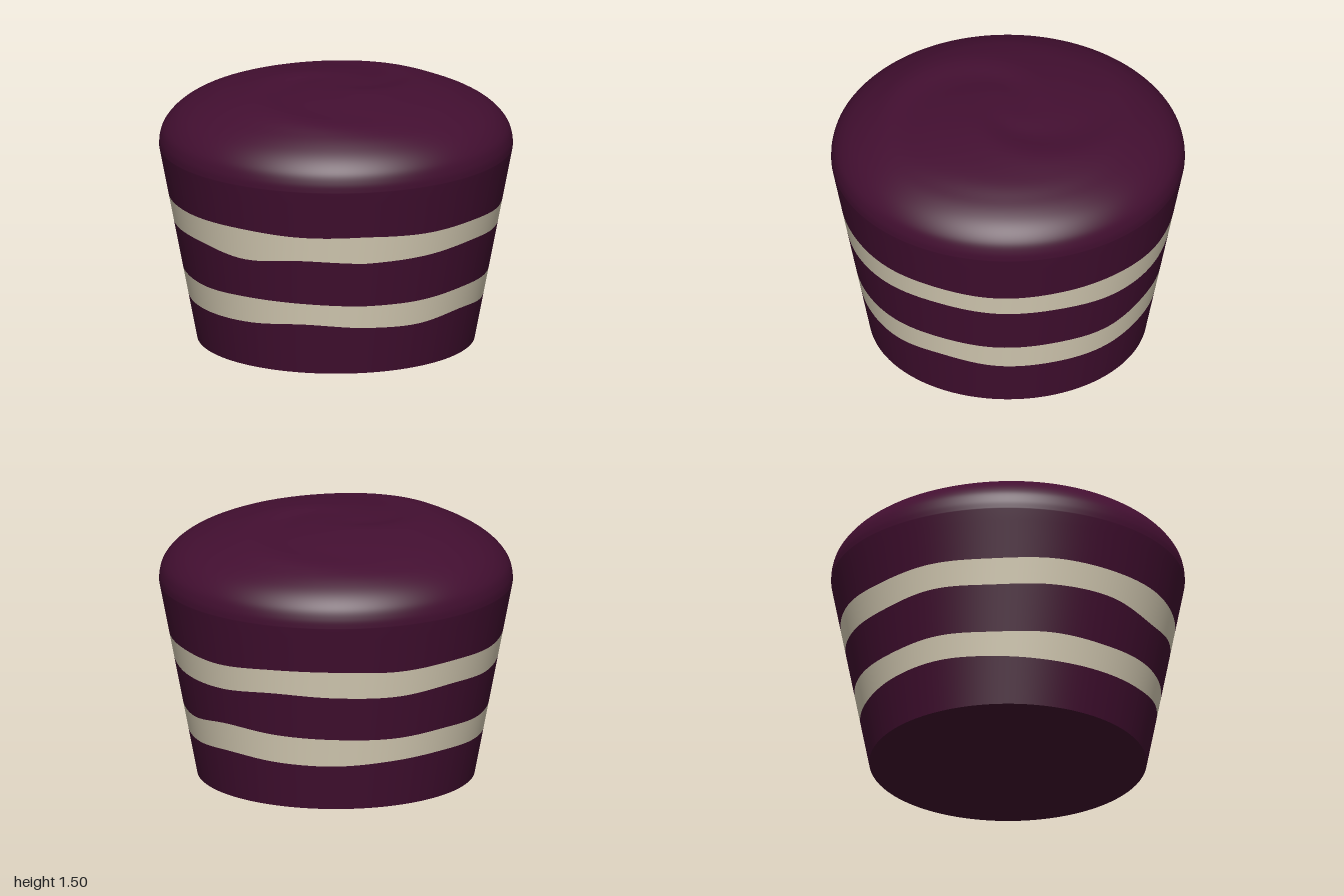
import * as THREE from 'three';

const SEG = 144;
const plum = new THREE.MeshStandardMaterial({ color: 0x430f31 });
plum.name = 'plum';
const cream = new THREE.MeshStandardMaterial({ color: 0xdfd5bc });
cream.name = 'cream';

// Radius of the flared side wall at height y
const RIM = 1.12, BASE_R = 0.785;
const wallRadius = (y) => BASE_R + (1 - BASE_R) * y / RIM;

// Closed wavy edge: heights at even angles, starting at the front and turning to +x
function wave(heights) {
  const curve = new THREE.CatmullRomCurve3(
    heights.map((h, i) => new THREE.Vector3(i, h, 0)).concat(new THREE.Vector3(heights.length, heights[0], 0)));
  return (a) => curve.getPoint(a / (2 * Math.PI)).y;
}

// Smooth skin through rings; each ring maps an angle to [radius, height]
function loft(rings) {
  const pos = [], index = [];
  rings.forEach((ring, i) => {
    for (let j = 0; j < SEG; j++) {
      const a = j / SEG * 2 * Math.PI, [r, y] = ring(a);
      pos.push(r * Math.sin(a), y, r * Math.cos(a));
      if (i === rings.length - 1) continue;
      const k = i * SEG + j, n = i * SEG + (j + 1) % SEG;
      index.push(k, n, n + SEG, k, n + SEG, k + SEG);
    }
  });
  const g = new THREE.BufferGeometry();
  g.setAttribute('position', new THREE.Float32BufferAttribute(pos, 3));
  g.setIndex(index);
  g.computeVertexNormals();
  return g;
}

// Wall rings between two edges
function wallRings(low, high, rows = 2) {
  return Array.from({ length: rows + 1 }, (_, i) => (a) => {
    const y = THREE.MathUtils.lerp(low(a), high(a), i / rows);
    return [wallRadius(y), y];
  });
}

// Gentle two-armed swirl pressed into the top
function swirl(r, a) {
  const p = 2 * (a - 4.4 * r + 1.6);
  const fade = THREE.MathUtils.smoothstep(r, 0.05, 0.3) * (1 - THREE.MathUtils.smoothstep(r, 0.5, 0.92));
  const tilt = 0.012 * r * (Math.cos(a) - Math.sin(a)) * (1 - THREE.MathUtils.smoothstep(r, 0.6, 1));
  return 0.011 * fade * Math.sin(p - 0.6 * Math.sin(p)) + tilt;
}

export function createModel() {
  const group = new THREE.Group();
  group.name = 'layeredCake';
  const add = (name, geometry, material) => {
    const mesh = new THREE.Mesh(geometry, material);
    mesh.name = name;
    group.add(mesh);
  };

  // Wavy edges of the two cream layers
  const lowerBottom = wave([.28, .27, .295, .27, .27, .265, .285, .27, .265, .28, .29, .275, .265, .265, .275, .30]);
  const lowerTop = wave([.415, .415, .43, .42, .425, .415, .455, .44, .43, .42, .43, .415, .425, .42, .43, .428]);
  const upperBottom = wave([.68, .69, .71, .695, .695, .67, .67, .70, .69, .68, .70, .685, .70, .70, .665, .695]);
  const upperTop = wave([.845, .83, .835, .82, .83, .83, .82, .845, .85, .835, .845, .835, .85, .85, .852, .84]);

  // Side wall layers
  add('bottomLayer', loft(wallRings(() => 0, lowerBottom)), plum);
  add('lowerCream', loft(wallRings(lowerBottom, lowerTop)), cream);
  add('middleLayer', loft(wallRings(lowerTop, upperBottom)), plum);
  add('upperCream', loft(wallRings(upperBottom, upperTop)), cream);

  // Top layer: wall, rounded shoulder and swirled crown in one skin
  const crown = new THREE.SplineCurve([
    [1, 1.12], [0.998, 1.17], [0.98, 1.23], [0.935, 1.29], [0.87, 1.342], [0.78, 1.39],
    [0.65, 1.437], [0.45, 1.47], [0.2, 1.488], [0, 1.492],
  ].map(([r, y]) => new THREE.Vector2(r, y))).getPoints(54);
  const crownRings = crown.slice(1).map((p) => (a) => {
    const r = THREE.MathUtils.clamp(p.x, 0, 1);
    return [r, p.y + swirl(r, a)];
  });
  add('topLayer', loft([...wallRings(upperTop, () => RIM, 4), ...crownRings]), plum);

  // Flat underside
  add('underside', new THREE.CircleGeometry(BASE_R, SEG).rotateX(Math.PI / 2), plum);
  return group;
}
